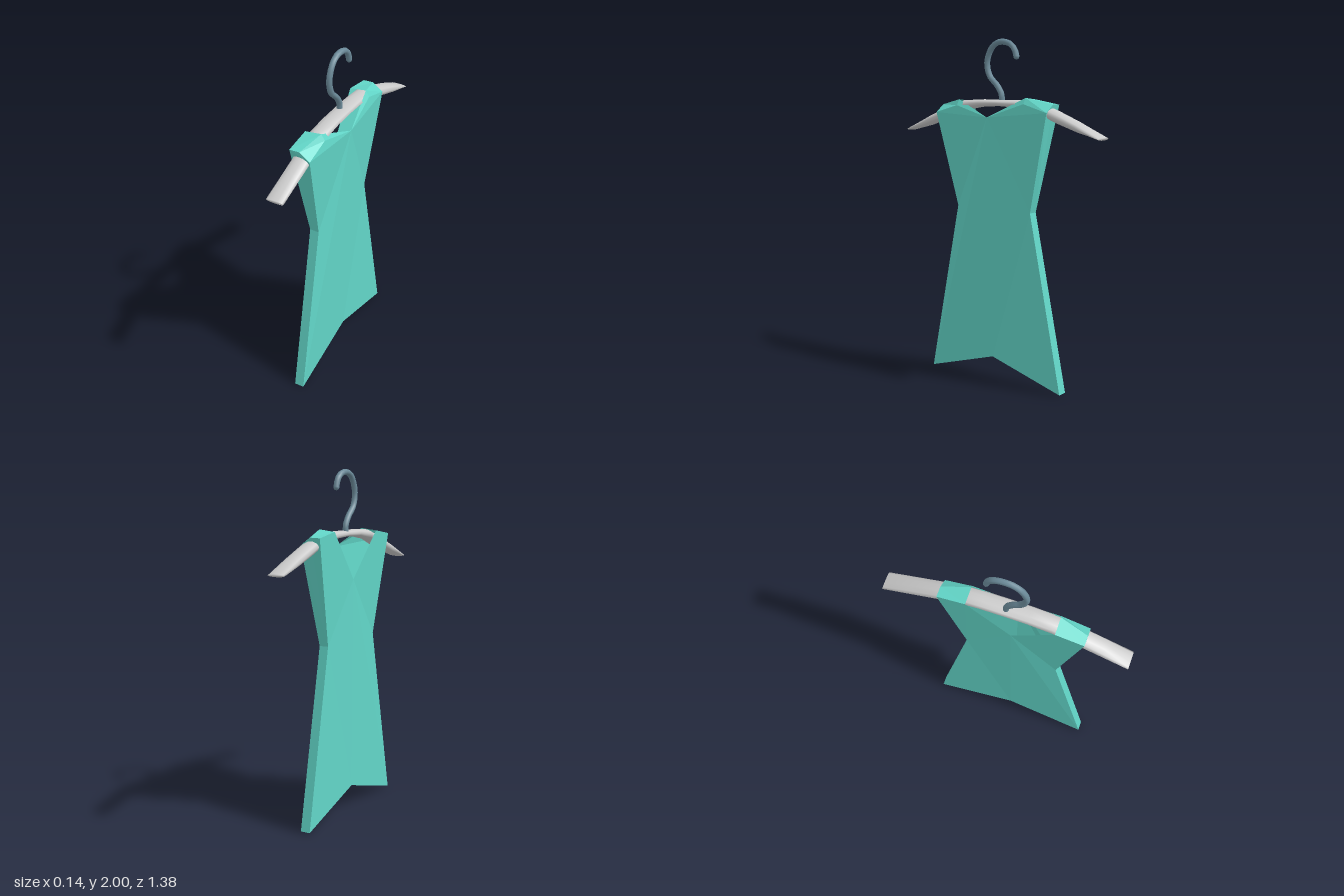
import * as THREE from 'three';

const V = (x, y, z) => new THREE.Vector3(x, y, z);

// Builds an indexed-free geometry from convex polygons
function fromPolygons(polys) {
  const pos = [];
  for (const p of polys)
    for (let i = 1; i < p.length - 1; i++)
      for (const v of [p[0], p[i], p[i + 1]]) pos.push(v.x, v.y, v.z);
  const g = new THREE.BufferGeometry();
  g.setAttribute('position', new THREE.Float32BufferAttribute(pos, 3));
  g.computeVertexNormals();
  return g;
}

// Faceted dress: two panels, side strips, hem and folded shoulder straps
function dressGeometry() {
  const cz = 0.04, polys = [];
  for (const k of [1, -1]) {
    const lift = k < 0 ? 0.018 : 0;
    const P = (x, y, d) => V(x, y, cz + k * d);
    const neckF = P(0.068, 1.56, 0), neckB = P(-0.055, 1.38, 0);
    const hemMidF = P(0.018, 0.15, 0), hemMidB = P(-0.045, 0.15, 0);
    const waistF = P(0.012, 1.03, 0.267), waistB = P(-0.042, 1.03, 0.267);
    const hemF = P(0.012, 0.005 + lift / 2, 0.48), hemB = P(-0.045, 0.005 + lift / 2, 0.48);
    // strap corners: outer (shoulder) and inner (neck) edge
    const [oB, oM, oF] = [[-0.072, 1.62], [-0.012, 1.622], [0.048, 1.578]].map(([x, y]) => P(x, y + lift, 0.402));
    const [iB, iM, iF] = [[-0.072, 1.645], [0.025, 1.656], [0.046, 1.622]].map(([x, y]) => P(x, y + lift, 0.243));
    const side = [
      [neckF, iF, iM], [neckF, oF, iF], [neckF, waistF, oF],      // bodice, +x panel
      [neckF, hemMidF, hemF, waistF],                             // skirt, +x panel
      [neckB, iB, oB, waistB], [neckB, waistB, hemB, hemMidB],    // -x panel
      [oB, oM, oF, waistF, waistB], [waistB, waistF, hemF, hemB], // side strip
      [oB, iB, iM, oM], [oM, iM, iF, oF],                         // strap
      [hemB, hemF, hemMidF, hemMidB],                             // hem
    ];
    for (const p of side) polys.push(k > 0 ? p : p.slice().reverse());
  }
  return fromPolygons(polys);
}

// Arched bar: elliptical sections swept along z, flattening at the tips
function barGeometry() {
  const half = [[0, 1.64, 0.018], [0.13, 1.637, 0.022], [0.26, 1.622, 0.03], [0.4, 1.572, 0.034], [0.54, 1.522, 0.028], [0.69, 1.468, 0.008]];
  const sections = [...half.slice(1).reverse().map(([z, y, r]) => [-z, y, r]), ...half];
  const n = 10, pos = [], idx = [];
  for (const [z, y, r] of sections)
    for (let j = 0; j < n; j++) {
      const a = (j / n) * Math.PI * 2;
      pos.push(-0.01 + 0.052 * Math.cos(a), y + r * Math.sin(a), z);
    }
  const last = (sections.length - 1) * n;
  for (let i = 0; i < last; i += n)
    for (let j = 0; j < n; j++) {
      const a = i + j, b = i + ((j + 1) % n);
      idx.push(a, b, b + n, a, b + n, a + n);
    }
  for (let j = 1; j < n - 1; j++) idx.push(0, j + 1, j, last, last + j, last + j + 1);
  const g = new THREE.BufferGeometry();
  g.setAttribute('position', new THREE.Float32BufferAttribute(pos, 3));
  g.setIndex(idx);
  g.computeVertexNormals();
  return g;
}

export function createModel() {
  const group = new THREE.Group();
  const add = (parent, name, geometry, material) => {
    const m = new THREE.Mesh(geometry, material);
    m.name = name;
    parent.add(m);
    return m;
  };

  add(group, 'dress', dressGeometry(), new THREE.MeshStandardMaterial({ color: 0x62d6c8, flatShading: true, side: THREE.DoubleSide }));

  const hanger = new THREE.Group();
  hanger.name = 'hanger';
  group.add(hanger);
  add(hanger, 'hangerBar', barGeometry(), new THREE.MeshStandardMaterial({ color: 0xcccccc }));

  // Hook: bent wire with closed ends
  const hookMat = new THREE.MeshStandardMaterial({ color: 0x6b8a99 });
  const r = 0.017, hx = -0.024;
  const path = new THREE.CatmullRomCurve3([
    [0.003, 1.64], [0.006, 1.69], [0.04, 1.74], [0.092, 1.79], [0.112, 1.865], [0.085, 1.94],
    [0.045, 1.975], [-0.005, 1.983], [-0.06, 1.968], [-0.09, 1.935], [-0.1, 1.9],
  ].map(([z, y]) => V(hx, y, z)));
  add(hanger, 'hook', new THREE.TubeGeometry(path, 20, r, 8), hookMat);
  const tip = add(hanger, 'hookTip', new THREE.SphereGeometry(r, 8, 6), hookMat);
  tip.position.copy(path.getPoint(1));

  return group;
}
